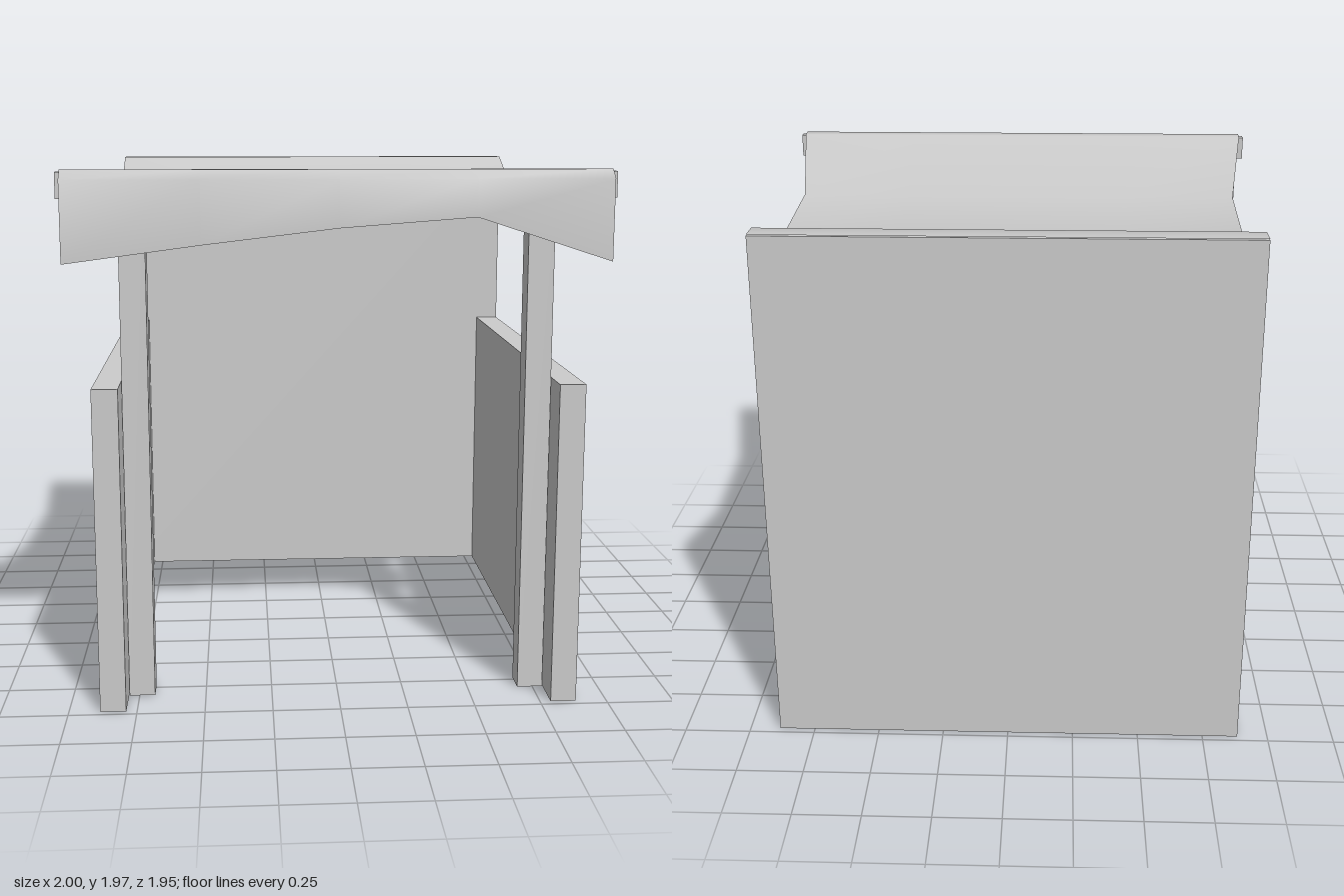
import * as THREE from 'three';

const material = new THREE.MeshStandardMaterial({ color: 0xcccccc, side: THREE.DoubleSide });

// Box given by its min/max corners; openBottom leaves out the face on the ground
function addBox(group, name, [x0, y0, z0], [x1, y1, z1], openBottom = true) {
  const geometry = new THREE.BoxGeometry(x1 - x0, y1 - y0, z1 - z0);
  if (openBottom) {
    const index = Array.from(geometry.index.array);
    index.splice(18, 6);
    geometry.setIndex(index);
    geometry.clearGroups();
  }
  const mesh = new THREE.Mesh(geometry, material);
  mesh.name = name;
  mesh.position.set((x0 + x1) / 2, (y0 + y1) / 2, (z0 + z1) / 2);
  group.add(mesh);
}

// Sagging cloth sheet: rows from the back wall to the front, then the hanging flap
function canopyGeometry() {
  const rows = [ // z, y, half width
    [-0.974, 1.974, 0.885],
    [-0.88, 1.974, 0.885],
    [-0.42, 1.815, 0.873],
    [0.26, 1.82, 0.9],
    [0.81, 1.967, 0.98],
    [0.87, 1.968, 0.982],
    [0.91, 1.935, 0.982],
    [0.91, null, 0.982],
  ];
  const hem = [1.64, 1.705, 1.763, 1.8, 1.64]; // uneven lower edge of the flap
  const cols = hem.length;
  const positions = [];
  const index = [];
  rows.forEach(([z, y, half], r) => {
    for (let c = 0; c < cols; c++) {
      positions.push(half * (c / (cols - 1) * 2 - 1), y ?? hem[c], z);
      if (r && c) {
        const d = r * cols + c;
        const b = d - cols;
        index.push(b - 1, d - 1, b, b, d - 1, d);
      }
    }
  });
  const geometry = new THREE.BufferGeometry();
  geometry.setAttribute('position', new THREE.Float32BufferAttribute(positions, 3));
  geometry.setIndex(index);
  geometry.computeVertexNormals();
  return geometry;
}

export function createModel() {
  const group = new THREE.Group();
  group.name = 'marketStall';

  addBox(group, 'backWall', [-0.885, 0, -0.974], [0.885, 1.97, -0.873]);

  // Side walls and front posts, mirrored
  for (const [side, s] of [['left', 1], ['right', -1]]) {
    const span = (a, b) => (s > 0 ? [a, b] : [-b, -a]);
    const [w0, w1] = span(0.79, 0.885);
    addBox(group, side + 'Wall', [w0, 0, -0.873], [w1, 1.205, 0.974]);
    const [p0, p1] = span(0.692, 0.788);
    addBox(group, side + 'Post', [p0, 0, 0.728], [p1, 1.915, 0.825]);
  }

  // Rail carrying the front of the cloth
  addBox(group, 'frontRail', [-1, 1.866, 0.825], [1, 1.96, 0.865], false);

  const canopy = new THREE.Mesh(canopyGeometry(), material);
  canopy.name = 'canopy';
  group.add(canopy);

  return group;
}
